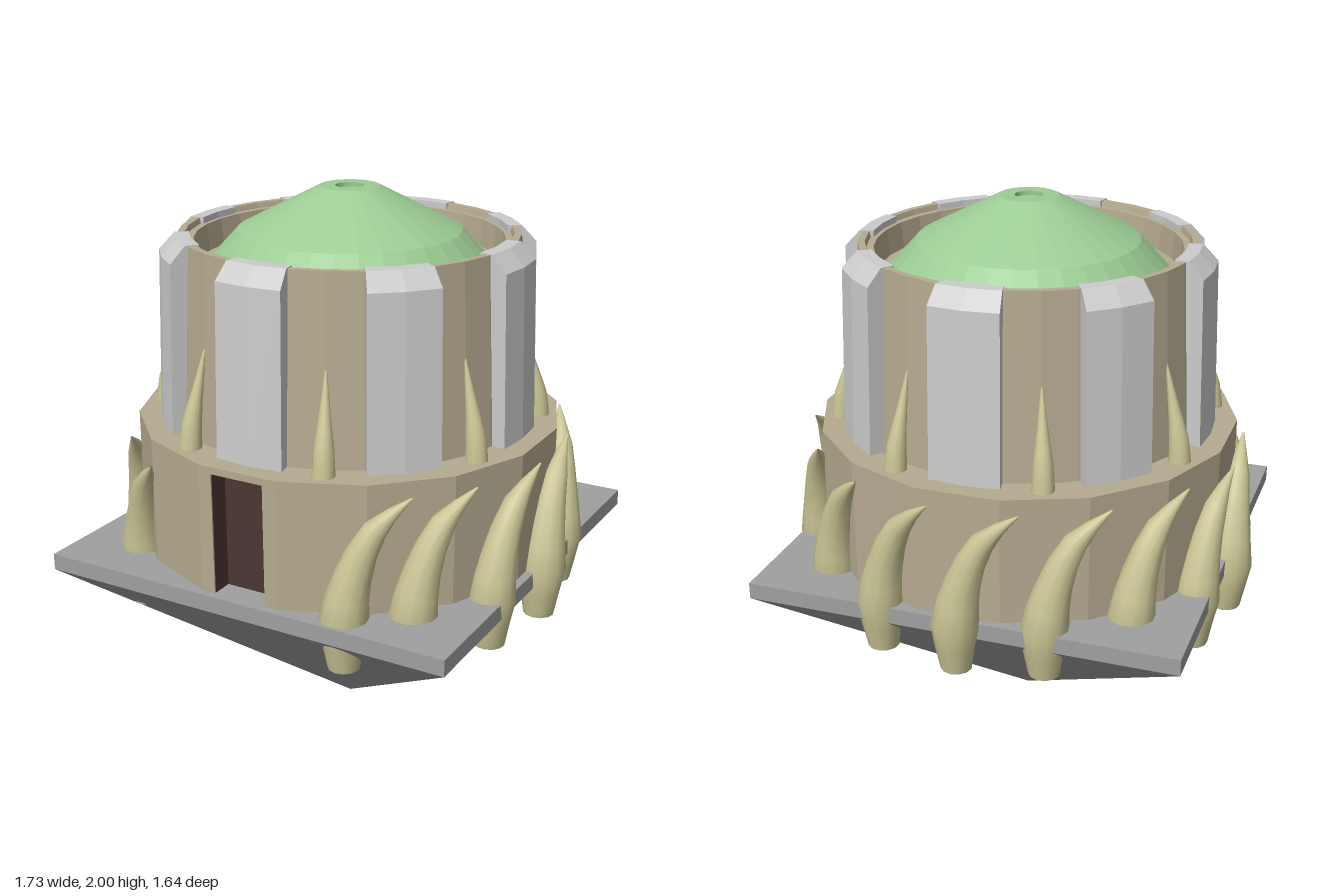
import * as THREE from 'three';

const mat = (color, smooth = false) =>
  new THREE.MeshStandardMaterial({ color, flatShading: !smooth, side: THREE.DoubleSide });
const TAN = mat(0xb5aa90), STONE = mat(0xa0a0a0), METAL = mat(0xcccccc);
const GREEN = mat(0x9ccc94), BROWN = mat(0x4a3631), HORN = mat(0xc9c494, true);

function add(parent, name, geometry, material, x = 0, y = 0, z = 0) {
  const mesh = new THREE.Mesh(geometry, material);
  mesh.name = name;
  mesh.position.set(x, y, z);
  parent.add(mesh);
  return mesh;
}

const lathe = (pts, n) => new THREE.LatheGeometry(pts.map(p => new THREE.Vector2(...p)), n);

// Curved horn: sections [sideways, height, outward, radius], leaning towards +x
function hornGeometry(sections, sides = 12) {
  const curve = new THREE.CatmullRomCurve3(sections.map(s => new THREE.Vector3(s[0], s[1], s[2])));
  const rows = (sections.length - 1) * 2, pos = [], idx = [];
  const ring = (u, scale) => {
    const p = curve.getPoint(u), d = curve.getTangent(u);
    const k = u * (sections.length - 1), i = Math.min(Math.floor(k), sections.length - 2);
    const r = scale * THREE.MathUtils.lerp(sections[i][3], sections[i + 1][3], k - i);
    const tilt = Math.atan2(d.x, d.y);
    for (let j = 0; j < sides; j++) {
      const a = j / sides * Math.PI * 2, c = r * Math.cos(a);
      pos.push(p.x + c * Math.cos(tilt), p.y - c * Math.sin(tilt), p.z + r * Math.sin(a));
    }
  };
  // flat bottom cap with its own rim, then the horn body
  ring(0, 0);
  ring(0, 1);
  for (let i = 0; i <= rows; i++) ring(i / rows, 1);
  for (let i = 0; i < rows + 2; i++) {
    if (i === 1) continue;
    for (let j = 0; j < sides; j++) {
      const a = i * sides + j, b = i * sides + (j + 1) % sides, c = a + sides, d = b + sides;
      idx.push(a, c, b, b, c, d);
    }
  }
  const g = new THREE.BufferGeometry();
  g.setAttribute('position', new THREE.Float32BufferAttribute(pos, 3));
  g.setIndex(idx);
  g.computeVertexNormals();
  return g;
}

// Wall panel: side profile extruded, then bent around the tower
function panelGeometry() {
  const w = 0.25, profile = [[0.56, 1.19], [0.685, 1.19], [0.665, 1.79], [0.61, 1.848], [0.56, 1.848]];
  const shape = new THREE.Shape(profile.map(p => new THREE.Vector2(...p)));
  const g = new THREE.ExtrudeGeometry(shape, { depth: w, steps: 2, bevelEnabled: false });
  const p = g.attributes.position;
  for (let i = 0; i < p.count; i++) {
    const r = p.getX(i), a = (w / 2 - p.getZ(i)) / 0.67;
    p.setXYZ(i, r * Math.sin(a), p.getY(i), r * Math.cos(a));
  }
  g.computeVertexNormals();
  return g;
}

export function createModel() {
  const model = new THREE.Group();
  model.name = 'tower';
  model.position.set(-0.006, 0, 0.04);

  // Square slab on an inverted pyramid
  add(model, 'baseSlab', new THREE.BoxGeometry(1.56, 0.06, 1.56), STONE, 0, 0.7, 0);
  const cone = new THREE.ConeGeometry(0.78 * Math.SQRT2, 0.67, 4, 1);
  cone.rotateX(Math.PI).rotateY(Math.PI / 4);
  add(model, 'basePyramid', cone, STONE, 0, 0.335, 0);

  // Sixteen-sided drum, its front side left out for the doorway wall
  const R = 0.765, step = Math.PI / 8, face = R * Math.cos(step / 2), half = R * Math.sin(step / 2);
  add(model, 'lowerDrum', new THREE.CylinderGeometry(R, R, 0.48, 15, 1, true, step / 2, Math.PI * 2 - step), TAN, 0, 0.95, 0);
  const ledge = new THREE.RingGeometry(0.5, R, 16, 1, step / 2).rotateX(-Math.PI / 2);
  add(model, 'drumLedge', ledge, TAN, 0, 1.19, 0);

  // Doorway wall and recessed door
  const wall = new THREE.Shape([
    [-half, 0.72], [-0.1, 0.72], [-0.1, 1.165], [0.1, 1.165],
    [0.1, 0.72], [half, 0.72], [half, 1.19], [-half, 1.19],
  ].map(p => new THREE.Vector2(...p)));
  add(model, 'doorwayWall', new THREE.ExtrudeGeometry(wall, { depth: 0.01, bevelEnabled: false }), TAN, 0, 0, face - 0.01);
  add(model, 'door', new THREE.BoxGeometry(0.2, 0.445, 0.02), BROWN, 0, 0.9425, face - 0.09);
  for (const s of [-1, 1])
    add(model, 'doorJamb', new THREE.BoxGeometry(0.01, 0.445, 0.09), BROWN, s * 0.104, 0.9425, face - 0.05);
  add(model, 'doorLintel', new THREE.BoxGeometry(0.2, 0.01, 0.09), BROWN, 0, 1.167, face - 0.05);

  // Upper tower with a stepped rim and a sunken well
  add(model, 'upperTower', lathe([
    [0.635, 1.19], [0.6, 1.845], [0.575, 1.845], [0.57, 1.825],
    [0.545, 1.825], [0.535, 1.73], [0.4, 1.73],
  ], 32), TAN);

  // Faceted dome with a small recess on top
  add(model, 'dome', lathe([
    [0.505, 1.73], [0.395, 1.85], [0.105, 2], [0.05, 2], [0.05, 1.985], [0, 1.985],
  ], 32), GREEN);

  // Wall panels, with small spikes between them
  const panel = panelGeometry();
  const spike = hornGeometry([
    [0, 1.18, 0.685, 0.04], [0, 1.28, 0.675, 0.034], [0, 1.4, 0.645, 0.018], [0, 1.54, 0.61, 0.002],
  ]);
  for (let i = 0; i < 8; i++) {
    add(model, 'wallPanel', panel, METAL).rotation.y = i * Math.PI / 4;
    add(model, 'smallSpike', spike, HORN).rotation.y = (i + 0.5) * Math.PI / 4;
  }

  // Large claws gripping the drum and slab, leaving the doorway clear
  const claw = hornGeometry([
    [0, 0.545, 0.775, 0.055], [0, 0.72, 0.78, 0.085], [0.03, 0.88, 0.78, 0.063],
    [0.1, 1.04, 0.775, 0.042], [0.22, 1.15, 0.765, 0.003],
  ]);
  for (let k = 1; k < 15; k++) {
    const angle = k === 1 ? 0.49 : k * step;
    add(model, 'claw', claw, HORN, 0, k > 10 ? -0.035 : 0, 0).rotation.y = angle;
  }

  const root = new THREE.Group();
  root.add(model);
  return root;
}
